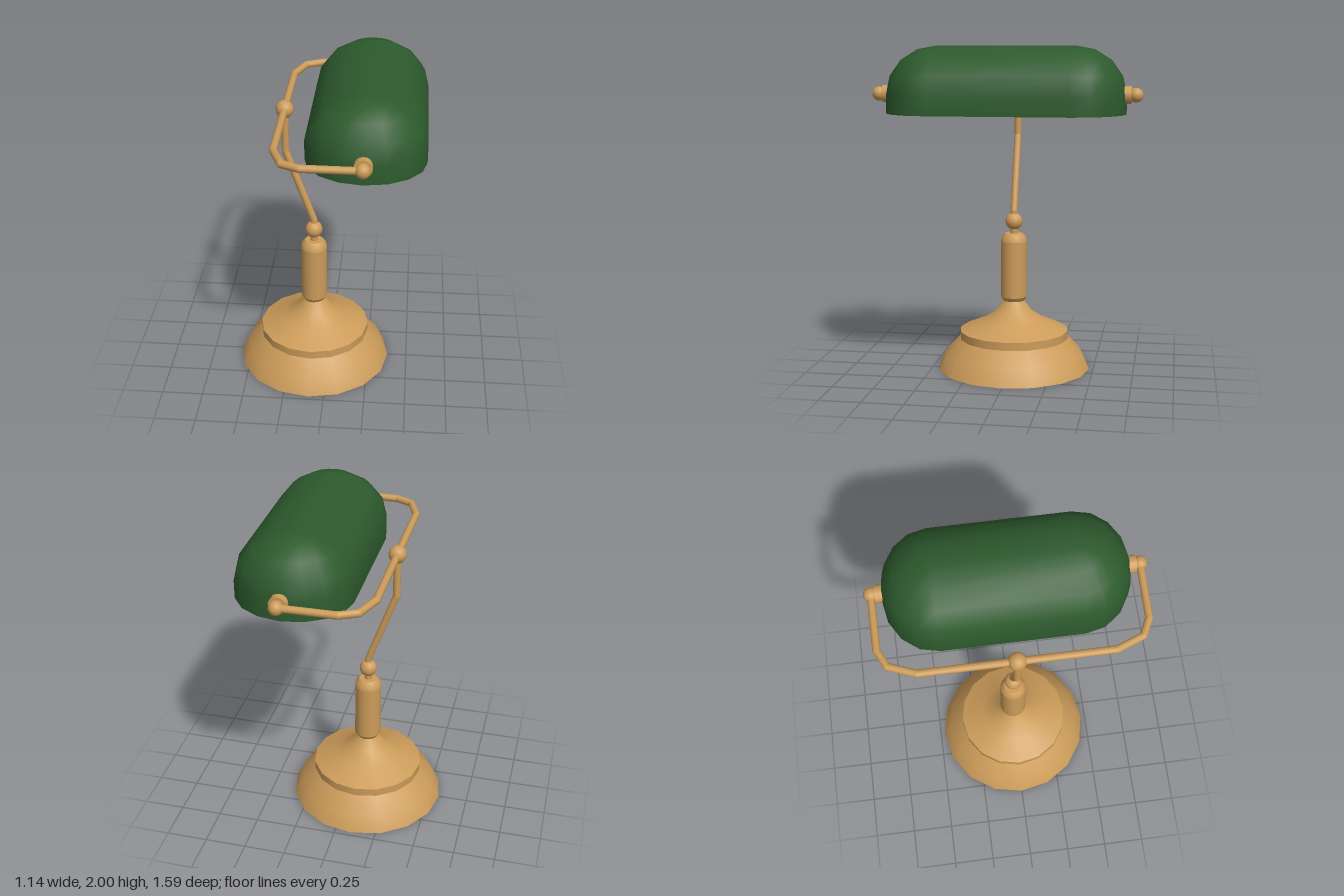
import * as THREE from 'three';
import { mergeVertices } from 'three/addons/utils/BufferGeometryUtils.js';

const brass = new THREE.MeshStandardMaterial({ color: 0xcc9c5a });
const green = new THREE.MeshStandardMaterial({ color: 0x2d5a2d });
const cream = new THREE.MeshStandardMaterial({ color: 0xe0d8b8 });

const STAND_X = -0.095, ARM_X = -0.26, SHADE_X = 0.232, PIVOT_Y = 1.72;

function add(parent, name, geometry, material, x = 0, y = 0, z = 0) {
  const mesh = new THREE.Mesh(geometry, material);
  mesh.name = name;
  mesh.position.set(x, y, z);
  parent.add(mesh);
  return mesh;
}

// Turned part: each profile section is smooth, with sharp edges between sections
function turned(parent, name, sections, segments) {
  const group = new THREE.Group();
  group.name = name;
  group.position.x = STAND_X;
  for (const section of sections) {
    const points = section.map(([r, y]) => new THREE.Vector2(r, y));
    add(group, name + 'Section', new THREE.LatheGeometry(points, segments), brass);
  }
  parent.add(group);
}

// Bent rod: straight cylinders with round elbows
function rod(parent, name, points, radius) {
  const group = new THREE.Group();
  group.name = name;
  const up = new THREE.Vector3(0, 1, 0);
  const path = points.map((p) => new THREE.Vector3(...p));
  for (let i = 0; i + 1 < path.length; i++) {
    const dir = path[i + 1].clone().sub(path[i]);
    const mid = path[i].clone().addScaledVector(dir, 0.5);
    const piece = add(group, name + 'Piece',
      new THREE.CylinderGeometry(radius, radius, dir.length(), 10, 1, true), brass, mid.x, mid.y, mid.z);
    piece.quaternion.setFromUnitVectors(up, dir.normalize());
    if (i > 0) add(group, name + 'Elbow', new THREE.SphereGeometry(radius, 10, 8), brass, ...points[i]);
  }
  parent.add(group);
}

// Oblong rings stacked along [scale, height] steps; scale 0 shrinks to the ridge line
function oblongLoft(steps) {
  const SEG = 8, count = 2 * (SEG + 1);
  const positions = [], index = [];
  for (const [f, y] of steps) {
    for (const side of [1, -1]) {
      for (let i = 0; i <= SEG; i++) {
        const t = (i / SEG) * Math.PI;
        positions.push(side * Math.cos(t) * 0.338 * f, y, side * (0.405 + Math.sin(t) * 0.295 * f));
      }
    }
  }
  for (let j = 0; j + 1 < steps.length; j++) {
    for (let i = 0; i < count; i++) {
      const a = j * count + i, b = j * count + (i + 1) % count;
      index.push(a, a + count, b, b, a + count, b + count);
    }
  }
  let geometry = new THREE.BufferGeometry();
  geometry.setAttribute('position', new THREE.Float32BufferAttribute(positions, 3));
  geometry.setIndex(index);
  geometry = mergeVertices(geometry);
  geometry.computeVertexNormals();
  return geometry;
}

export function createModel() {
  const model = new THREE.Group();
  model.name = 'deskLamp';

  // Stepped foot with a flared neck
  turned(model, 'foot', [
    [[0, 0], [0.474, 0]],
    [[0.474, 0], [0.427, 0.1], [0.34, 0.19]],
    [[0.34, 0.19], [0.34, 0.24]],
    [[0.34, 0.24], [0.2, 0.3], [0.11, 0.36], [0.065, 0.425]],
  ], 16);

  // Column handle
  turned(model, 'column', [
    [[0.065, 0.425], [0.081, 0.45]],
    [[0.081, 0.45], [0.081, 0.8]],
    [[0.081, 0.8], [0.075, 0.83], [0.055, 0.85]],
    [[0.055, 0.85], [0, 0.85]],
  ], 16);

  // Stem from the column up to the shade bracket
  rod(model, 'stem', [
    [STAND_X, 0.84, 0], [STAND_X, 0.99, 0], [ARM_X, 1.45, 0], [ARM_X, PIVOT_Y, 0],
  ], 0.022);
  const knob = new THREE.SphereGeometry(0.053, 16, 12);
  add(model, 'lowerJoint', knob, brass, STAND_X, 0.925, 0);
  add(model, 'upperJoint', knob, brass, ARM_X, PIVOT_Y, 0);

  // Bracket arms, end knobs and collars on both ends of the shade
  for (const [side, s] of [['front', 1], ['back', -1]]) {
    rod(model, side + 'Arm', [
      [ARM_X, PIVOT_Y, 0], [ARM_X, PIVOT_Y, 0.545 * s], [-0.2, PIVOT_Y, 0.7 * s],
      [-0.1, PIVOT_Y, 0.748 * s], [SHADE_X, PIVOT_Y, 0.752 * s],
    ], 0.022);
    add(model, side + 'Knob', new THREE.SphereGeometry(0.042, 16, 12), brass, SHADE_X, PIVOT_Y, 0.752 * s);
    const collar = add(model, side + 'Collar',
      new THREE.CylinderGeometry(0.051, 0.051, 0.05, 16), brass, SHADE_X, PIVOT_Y, 0.703 * s);
    collar.rotation.x = Math.PI / 2;
  }

  // Shade: domed shell, rim, inner wall and ceiling
  const shade = new THREE.Group();
  shade.name = 'shade';
  shade.position.x = SHADE_X;
  model.add(shade);
  const dome = [[1, 1.61]];
  for (let i = 0; i <= 4; i++) {
    const a = (i / 4) * Math.PI / 2;
    dome.push([i === 4 ? 0 : Math.cos(a), PIVOT_Y + 0.28 * Math.sin(a)]);
  }
  add(shade, 'shadeShell', oblongLoft(dome), green);
  add(shade, 'shadeRim', oblongLoft([[0.94, 1.61], [1, 1.61]]), green);
  add(shade, 'shadeInnerWall', oblongLoft([[0.94, 1.73], [0.94, 1.61]]), cream);
  add(shade, 'shadeCeiling', oblongLoft([[0, 1.73], [0.94, 1.73]]), cream);

  return model;
}
